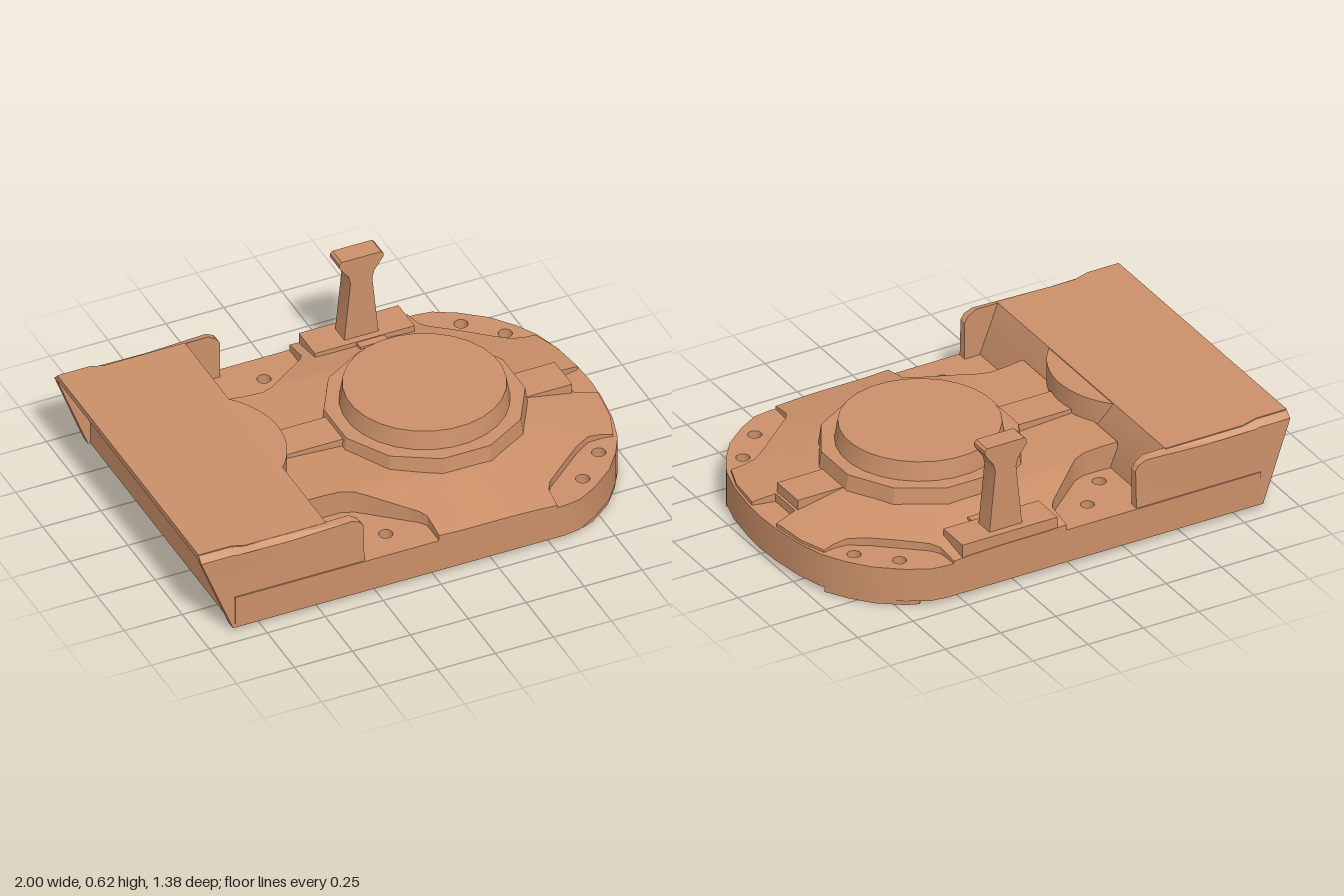
import * as THREE from 'three';
import { toCreasedNormals } from 'three/addons/utils/BufferGeometryUtils.js';

const HUB_X = 0.28;
const material = new THREE.MeshStandardMaterial({ color: 0xcb9069 });

const add = (parent, name, geometry) => {
  const mesh = new THREE.Mesh(toCreasedNormals(geometry, 0.45), material);
  mesh.name = name;
  parent.add(mesh);
  return mesh;
};

const toShape = (pts) => new THREE.Shape(pts.map(([x, y]) => new THREE.Vector2(x, y)));

// Plan outline (x, z) extruded between two heights, with round holes
function slab(pts, y0, y1, holes = []) {
  const shape = toShape(pts);
  for (const [x, z] of holes) {
    shape.holes.push(new THREE.Path().absarc(x, z, 0.028, 0, Math.PI * 2, true));
  }
  const geo = new THREE.ExtrudeGeometry(shape, { depth: y1 - y0, bevelEnabled: false, curveSegments: 16 });
  return geo.rotateX(Math.PI / 2).translate(0, y1, 0);
}

// Side profile (x, y) extruded between two z positions
function profile(pts, z0, z1) {
  return new THREE.ExtrudeGeometry(toShape(pts), { depth: z1 - z0, bevelEnabled: false }).translate(0, 0, z0);
}

function box(x0, x1, y0, y1, z0, z1) {
  return new THREE.BoxGeometry(x1 - x0, y1 - y0, z1 - z0)
    .translate((x0 + x1) / 2, (y0 + y1) / 2, (z0 + z1) / 2);
}

// Half outline from the nose to the tail, closed by mirroring in z
const mirrored = (half) =>
  half.concat(half.filter(([, z]) => z > 0).reverse().map(([x, z]) => [x, -z]));

const bothSides = (pts) => [pts, pts.map(([x, z]) => [x, -z]).reverse()];

// Gently domed deck: grid running from the hub out to an outline, then down a wall
function deckGeometry(outline, floor) {
  const ring = [];
  outline.forEach(([x, z], i) => {
    const [nx, nz] = outline[(i + 1) % outline.length];
    for (let k = 0; k < 5; k++) ring.push([x + (nx - x) * k / 5, z + (nz - z) * k / 5]);
  });
  const height = (x, z) => {
    const r = Math.hypot(Math.max(0, x - HUB_X), z);
    return 0.245 - 0.2 * Math.max(0, r - 0.39) + 0.06 * Math.max(0, 0.1 - x);
  };
  const steps = 8, positions = [], index = [], row = steps + 2;
  ring.forEach(([x, z], i) => {
    const dx = x - HUB_X, length = Math.hypot(dx, z);
    for (let j = 0; j <= steps; j++) {
      const r = 0.3 + (length - 0.3) * j / steps;
      const px = HUB_X + dx / length * r, pz = z / length * r;
      positions.push(px, height(px, pz), pz);
    }
    positions.push(x, floor, z);
    const a = i * row, b = ((i + 1) % ring.length) * row;
    for (let j = 0; j <= steps; j++) {
      index.push(a + j, b + j, a + j + 1, b + j, b + j + 1, a + j + 1);
    }
  });
  const geo = new THREE.BufferGeometry();
  geo.setAttribute('position', new THREE.Float32BufferAttribute(positions, 3));
  geo.setIndex(index);
  geo.computeVertexNormals();
  return geo;
}

export function createModel() {
  const model = new THREE.Group();
  model.name = 'deckHousing';

  // Lower plate with bolt holes
  const halfHoles = [[-0.28, 0.43], [-0.15, 0.56], [0.7, 0.56], [0.83, 0.43]];
  const holes = halfHoles.concat(halfHoles.map(([x, z]) => [x, -z]));
  const plate = mirrored([
    [1, 0], [0.995, 0.1], [0.975, 0.25], [0.94, 0.37], [0.89, 0.46], [0.82, 0.55],
    [0.72, 0.63], [0.63, 0.68], [0.56, 0.69], [-0.86, 0.69],
  ]);
  add(model, 'basePlate', slab(plate, 0.02, 0.165, holes));

  // Domed deck, cut away at the four bolt pockets and the nose notch
  const deck = mirrored([
    [0.89, 0], [0.89, 0.075], [0.985, 0.095], [0.965, 0.25], [0.925, 0.36],
    [0.88, 0.352], [0.82, 0.355], [0.75, 0.4], [0.56, 0.56], [0.535, 0.6], [0.53, 0.69],
    [0.02, 0.69], [0.02, 0.58], [0, 0.55], [-0.2, 0.38], [-0.25, 0.36], [-0.33, 0.36],
    [-0.4, 0.365], [-0.4, 0],
  ]);
  add(model, 'deck', deckGeometry(deck, 0.16));

  // Bolt pads under the plate
  const rearPad = [[-0.36, 0.43], [-0.33, 0.37], [-0.25, 0.365], [-0.07, 0.53],
    [-0.07, 0.61], [-0.11, 0.66], [-0.19, 0.66], [-0.35, 0.5]];
  const frontPad = [[0.63, 0.61], [0.63, 0.53], [0.8, 0.365], [0.9, 0.36], [0.935, 0.38],
    [0.88, 0.47], [0.81, 0.555], [0.71, 0.63], [0.66, 0.65]];
  for (const [name, pad, near] of [['rearPad', rearPad, 0], ['frontPad', frontPad, 2]]) {
    bothSides(pad).forEach((pts, side) => {
      const padHoles = holes.slice(side * 4 + near, side * 4 + near + 2);
      add(model, name, slab(pts, 0, 0.02, padHoles));
    });
  }

  // Two-tier hub
  const tiers = [['hubBase', 0.4, 0.412, 12, 0.22, 0.31], ['hubCap', 0.322, 0.337, 28, 0.3, 0.39]];
  for (const [name, top, bottom, sides, y0, y1] of tiers) {
    const geo = new THREE.CylinderGeometry(top, bottom, y1 - y0, sides);
    geo.rotateY(Math.PI / sides).translate(HUB_X, (y0 + y1) / 2, 0);
    add(model, name, geo);
  }

  // Raised strips fore and aft of the hub
  add(model, 'rearStrip', box(-0.4, -0.1, 0.17, 0.29, -0.08, 0.08));
  add(model, 'noseBlock', box(0.6, 0.88, 0.17, 0.245, -0.08, 0.08));

  // Rear housing with overhanging lip and rounded front bulge
  add(model, 'rearHousing', profile([
    [-1, 0.365], [-0.86, 0.355], [-0.86, 0.03], [-0.37, 0.03], [-0.37, 0.17],
    [-0.45, 0.375], [-0.8, 0.375], [-0.86, 0.39], [-1, 0.39],
  ], -0.65, 0.65));
  const bulge = new THREE.CylinderGeometry(0.36, 0.36, 0.27, 32, 1, false, 0, Math.PI);
  add(model, 'housingBulge', bulge.translate(-0.71, 0.237, 0));

  // Side walls, tapering inwards and chamfered along the top
  const wallPts = [[-1, 0.36], [-0.87, 0.02], [-0.3, 0.02], [-0.3, 0.33], [-0.315, 0.352],
    [-0.35, 0.375], [-0.8, 0.375], [-0.86, 0.39], [-1, 0.39]];
  for (const side of [1, -1]) {
    const geo = side > 0 ? profile(wallPts, 0.645, 0.69) : profile(wallPts, -0.69, -0.645);
    const pos = geo.attributes.position;
    for (let i = 0; i < pos.count; i++) {
      const x = pos.getX(i), y = pos.getY(i), z = pos.getZ(i);
      if (Math.abs(z) < 0.67 || y < 0.3) continue;
      pos.setZ(i, z - side * 0.013);
      if (y > 0.37) pos.setY(i, y - (x < -0.4 ? 0.028 : 0.008));
    }
    add(model, 'sideWall', geo);
  }

  // Handle on its mounting plate
  const handle = new THREE.Group();
  handle.name = 'handle';
  model.add(handle);
  add(handle, 'handlePlate', box(0.06, 0.49, 0.165, 0.235, -0.688, -0.54));
  add(handle, 'handleTongue', box(0.24, 0.36, 0.165, 0.232, -0.56, -0.505));
  add(handle, 'handlePost', profile([
    [0.2, 0.22], [0.35, 0.22], [0.322, 0.5], [0.33, 0.535], [0.37, 0.59], [0.37, 0.607],
    [0.36, 0.617], [0.19, 0.617], [0.18, 0.607], [0.18, 0.59], [0.22, 0.535], [0.228, 0.5],
  ], -0.655, -0.57));

  return model;
}
